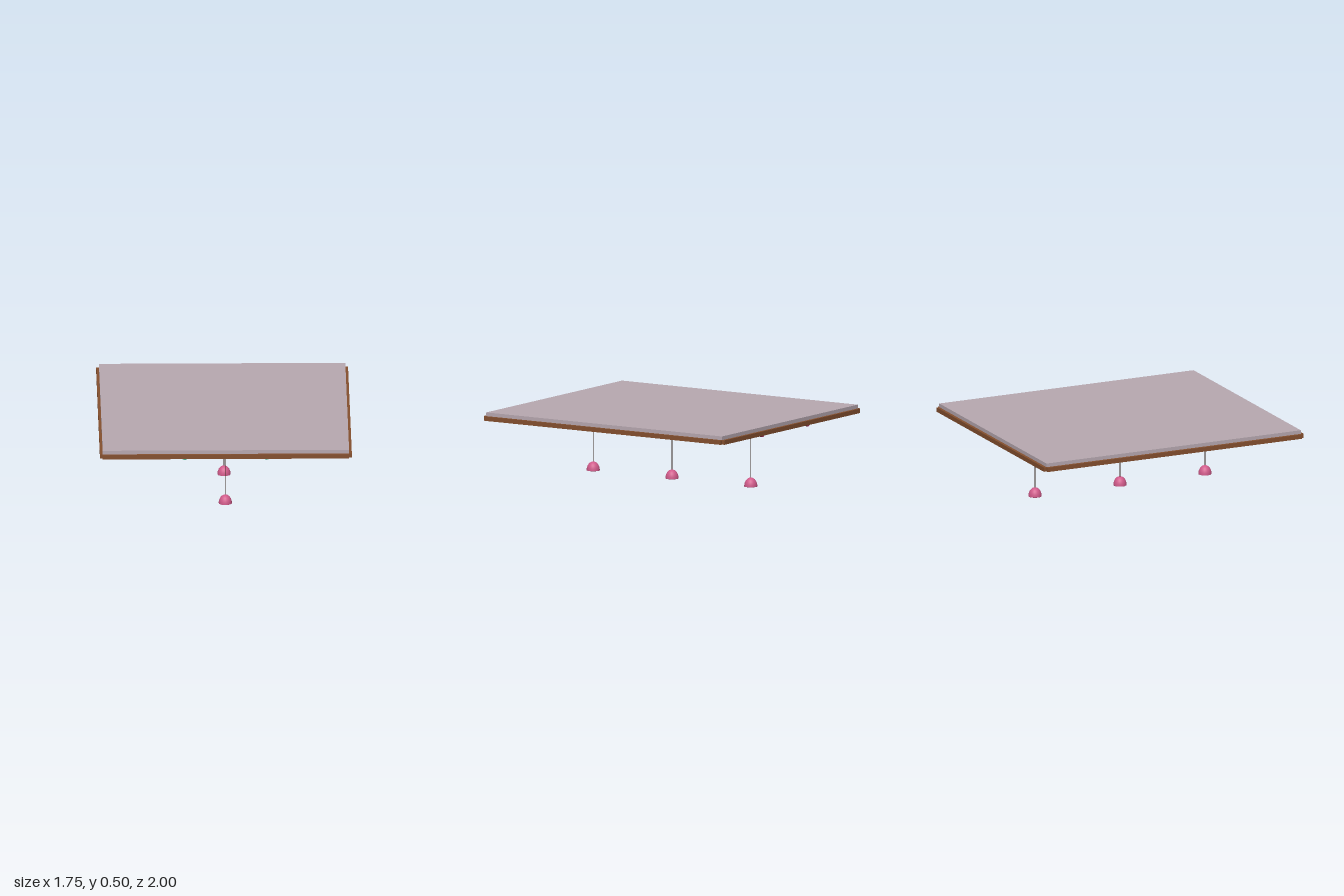
import * as THREE from 'three';

const material = (name, color, side = THREE.FrontSide) => {
  const m = new THREE.MeshStandardMaterial({ color, side });
  m.name = name;
  return m;
};

export function createModel() {
  const model = new THREE.Group();
  const plaster = material('mauve plaster', 0xb8a9b1);
  const wood = material('brown wood', 0x85502f);
  const teal = material('teal', 0x55b593);
  const crimson = material('crimson', 0xa82f5c);
  const pink = material('pink shade', 0xd05a8a, THREE.DoubleSide);
  const pale = material('pale bulb', 0xf3dfe0);
  const cordBrown = material('dark cord', 0x3d2c22);
  const bronze = material('bronze', 0x6e5c38);

  const add = (name, geometry, mat, x, y, z, parent = model) => {
    const mesh = new THREE.Mesh(geometry, mat);
    mesh.name = name;
    mesh.position.set(x, y, z);
    parent.add(mesh);
    return mesh;
  };
  const box = (name, w, h, d, mat, x, y, z) =>
    add(name, new THREE.BoxGeometry(w, h, d), mat, x, y, z);

  // Ceiling slab
  box('ceilingSlab', 1.71, 0.026, 1.96, plaster, 0, 0.484, 0);

  // Edge trim and the grid of beams under the slab
  for (const s of [-1, 1]) {
    box('endTrim', 1.71, 0.031, 0.04, wood, 0, 0.4555, s * 0.98);
    box('sideTrim', 0.04, 0.0308, 1.96, wood, s * 0.854, 0.4556, 0);
    box('longBeam', 0.03, 0.029, 1.93, wood, s * 0.285, 0.4565, 0);
    box('crossBeam', 1.68, 0.0286, 0.03, wood, 0, 0.4567, s * 0.327);
  }

  // Alternating discs along the long beams
  const discGeometry = new THREE.CylinderGeometry(0.022, 0.022, 0.018, 16).rotateX(Math.PI / 2);
  for (const x of [-0.285, 0.285]) {
    for (let i = 0; i < 20; i++) {
      add('beamDisc', discGeometry, i % 2 ? crimson : teal, x, 0.437, 0.935 - i * 0.0984);
    }
  }

  // Pendant lamps down the middle
  const shadeGeometry = new THREE.LatheGeometry(
    Array.from({ length: 9 }, (_, i) => {
      const a = (i / 8) * Math.PI / 2;
      return new THREE.Vector2(0.046 * Math.cos(a), 0.008 + 0.061 * Math.sin(a));
    }), 24);
  const rimGeometry = new THREE.TorusGeometry(0.044, 0.002, 6, 24).rotateX(Math.PI / 2);
  for (const z of [-0.655, 0, 0.655]) {
    const lamp = new THREE.Group();
    lamp.name = 'pendantLamp';
    lamp.position.z = z;
    model.add(lamp);
    add('canopy', new THREE.CylinderGeometry(0.025, 0.025, 0.01, 20), bronze, 0, 0.467, 0, lamp);
    add('cord', new THREE.CylinderGeometry(0.0022, 0.0022, 0.4, 8), cordBrown, 0, 0.266, 0, lamp);
    add('shade', shadeGeometry, pink, 0, 0, 0, lamp);
    add('shadeRim', rimGeometry, pink, 0, 0.008, 0, lamp);
    add('bulb', new THREE.SphereGeometry(0.018, 16, 12), pale, 0, 0.018, 0, lamp);
  }
  return model;
}
